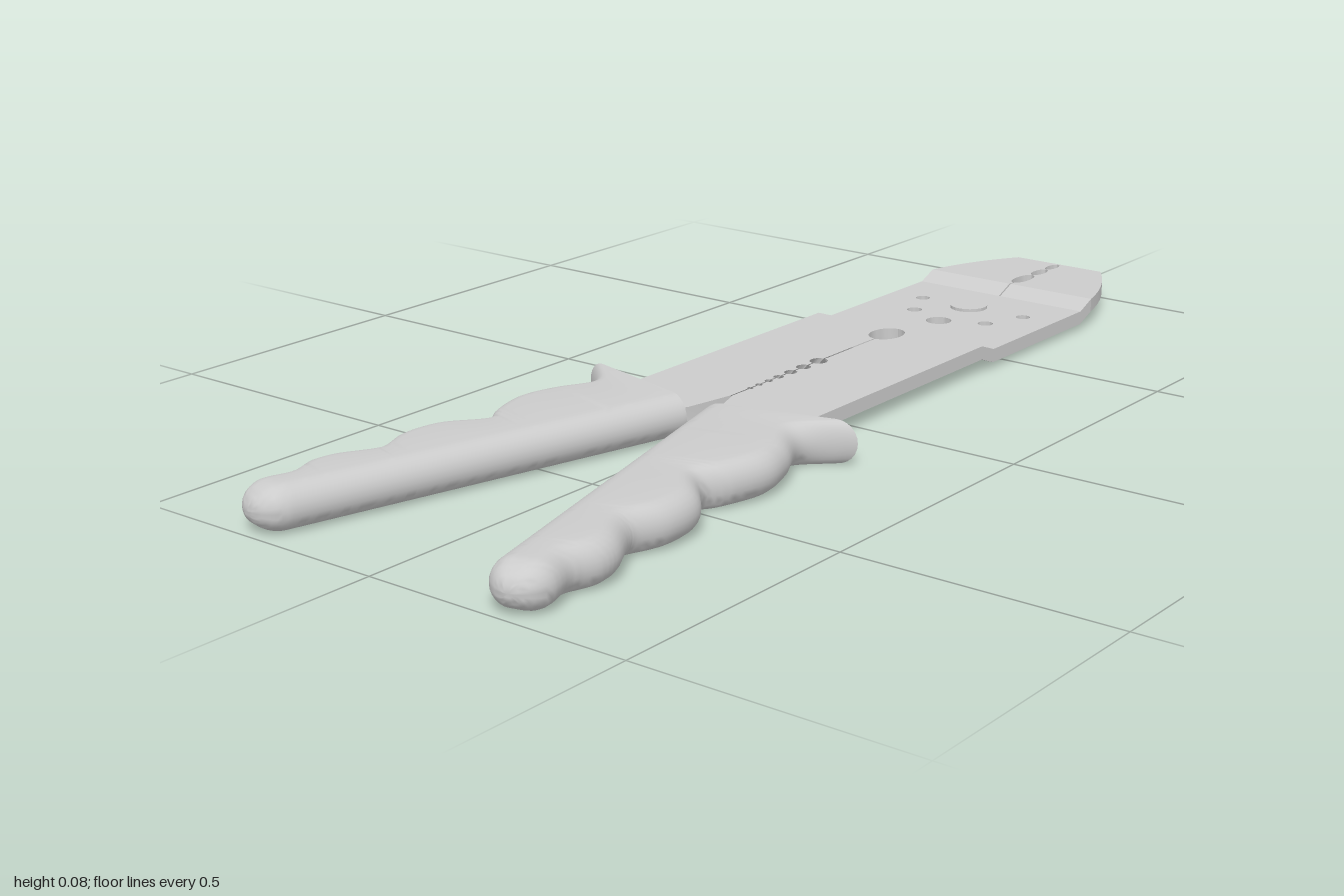
import * as THREE from 'three';
import { toCreasedNormals } from 'three/addons/utils/BufferGeometryUtils.js';

const THICK = 0.026, SEAM = -0.008, GAP = 0.0015;
const V = (x, z) => new THREE.Vector2(x, z);

// Height of the plate's top face along its length: the pivot area is pressed down
const PROFILE = [[-1, 0.055], [-0.805, 0.055], [-0.765, 0.038], [-0.44, 0.038], [-0.4, 0.053], [1, 0.053]];
function topY(z) {
  for (let i = 1; i < PROFILE.length; i++) {
    const [a, ya] = PROFILE[i - 1], [b, yb] = PROFILE[i];
    if (z <= b) return THREE.MathUtils.lerp(ya, yb, (z - a) / (b - a));
  }
  return PROFILE[PROFILE.length - 1][1];
}

// Extrude an (x, z) outline into sheet metal that follows the profile.
// Walls lying on the listed cuts are dropped so neighbouring bands join up.
function sheet(outline, cuts, holes = [], adjust = null) {
  const shape = new THREE.Shape(outline);
  for (const [x, z, r] of holes) {
    shape.holes.push(new THREE.Path().absarc(x, z, r, 0, Math.PI * 2, true));
  }
  const geo = new THREE.ExtrudeGeometry(shape, { depth: THICK, bevelEnabled: false, curveSegments: 14 });
  geo.rotateX(Math.PI / 2);
  const p = geo.attributes.position, kept = [];
  for (let i = 0; i < p.count; i += 3) {
    const tri = [0, 1, 2].map(k => new THREE.Vector3().fromBufferAttribute(p, i + k));
    if (cuts.some(c => tri.every(v => Math.abs(v.z - c) < 1e-5))) continue;
    for (const v of tri) {
      if (adjust) adjust(v);
      v.y += topY(v.z);
      kept.push(v.x, v.y, v.z);
    }
  }
  const out = new THREE.BufferGeometry();
  out.setAttribute('position', new THREE.Float32BufferAttribute(kept, 3));
  return toCreasedNormals(out, 0.6);
}

// Inner edge of one half, with half-ellipse notches [z, radiusX, radiusZ]
function innerEdge(side, z0, z1, notches) {
  const pts = [V(SEAM + side * GAP, z0)];
  for (const [z, rx, rz] of notches) {
    for (let i = 0; i <= 12; i++) {
      const t = Math.PI * i / 12;
      pts.push(V(SEAM + side * (GAP + rx * Math.sin(t)), z - rz * Math.cos(t)));
    }
  }
  pts.push(V(SEAM + side * GAP, z1));
  return pts;
}

const outerX = side => -0.008 + side * 0.19;

// Contoured grip: rounded slab sections lofted along the handle axis
const FINGER_EDGE = [[0.29, 0], [0.211, 0.055], [0.223, 0.14], [0.222, 0.204], [0.184, 0.277],
  [0.152, 0.313], [0.184, 0.4], [0.173, 0.47], [0.137, 0.527], [0.137, 0.549], [0.154, 0.613],
  [0.15, 0.65], [0.123, 0.698], [0.124, 0.745]];

function gripGeometry(side) {
  const R = 0.039, ARC = 12, N = 2 * (ARC + 1), rows = [];
  const curve = new THREE.CatmullRomCurve3(FINGER_EDGE.map(([u, v]) => new THREE.Vector3(u, v, 0)));
  for (let i = 0; i <= 84; i++) {
    const q = curve.getPoint(i / 84);
    rows.push([0.018 * q.y / 0.745, q.x, q.y, R]);
  }
  // Domed tip
  for (let i = 1; i <= 10; i++) {
    const a = i / 10 * Math.PI / 2, c = Math.max(Math.cos(a), 0.001);
    rows.push([0.071 - 0.053 * c, 0.071 + 0.053 * c, 0.745 + 0.055 * Math.sin(a), R * c]);
  }
  const pos = [], idx = [];
  const put = (u, y, v) => pos.push(side * (0.015 + 0.97 * u + 0.24 * v), y, 0.235 - 0.24 * u + 0.97 * v);
  for (const [u0, u1, v, h] of rows) {
    const r = Math.min(h, (u1 - u0) / 2);
    for (let k = 0; k < N; k++) {
      const right = k <= ARC;
      const a = right ? -Math.PI / 2 + Math.PI * k / ARC : Math.PI / 2 + Math.PI * (k - ARC - 1) / ARC;
      put((right ? u1 - r : u0 + r) + r * Math.cos(a), R + h * Math.sin(a), v);
    }
  }
  const face = (a, b, c) => (side > 0 ? idx.push(a, b, c) : idx.push(a, c, b));
  for (let i = 0; i < rows.length - 1; i++) {
    for (let k = 0; k < N; k++) {
      const a = i * N + k, b = i * N + (k + 1) % N;
      face(a, b + N, b);
      face(a, a + N, b + N);
    }
  }
  // Flat end facing the plate, and the tip
  for (let k = 1; k < N - 1; k++) {
    face(0, k, k + 1);
    const o = (rows.length - 1) * N;
    face(o, o + k + 1, o + k);
  }
  // Orient outward: check the flat end, which must face back along the axis
  const geo = new THREE.BufferGeometry();
  geo.setAttribute('position', new THREE.Float32BufferAttribute(pos, 3));
  geo.setIndex(idx);
  let vol = 0;
  const P = k => new THREE.Vector3().fromArray(pos, idx[k] * 3);
  for (let k = 0; k < idx.length; k += 3) vol += P(k).dot(P(k + 1).cross(P(k + 2)));
  if (vol < 0) geo.setIndex(idx.reverse());
  return toCreasedNormals(geo, 0.8);
}

export function createModel() {
  const group = new THREE.Group();
  const mat = new THREE.MeshStandardMaterial({ color: 0xcccccc, side: THREE.DoubleSide });
  const add = (name, geo) => {
    const mesh = new THREE.Mesh(geo, mat);
    mesh.name = name;
    group.add(mesh);
    return mesh;
  };

  for (const side of [-1, 1]) {
    const label = side > 0 ? 'left' : 'right';
    const X = outerX(side);

    // Crimping jaw with a curved shoulder
    const shoulder = new THREE.QuadraticBezierCurve(V(X, -0.805), V(-0.008 + side * 0.165, -0.91), V(-0.008 + side * 0.1, -1));
    add(label + 'Jaw', sheet([
      ...innerEdge(side, -1, -0.805, [[-0.972, 0.009, 0.022], [-0.92, 0.011, 0.026], [-0.855, 0.014, 0.036]]),
      ...shoulder.getPoints(12)], [-0.805]));

    // Sloped steps either side of the pivot area
    for (const [name, z0, z1] of [['FrontStep', -0.805, -0.765], ['RearStep', -0.44, -0.4]]) {
      add(label + name, sheet([...innerEdge(side, z0, z1, []), V(X, z1), V(X, z0)], [z0, z1]));
    }

    // Long cutting half; the underside is ground away along the wire notches
    const bladeBevel = v => {
      const inner = Math.abs(v.x - SEAM) < 0.024;
      if (inner && v.y < -0.01 && v.z > -0.25 && v.z < 0.09) v.x += side * 0.022;
    };
    const notches = [[-0.36, 0.03, 0.04], [-0.245, 0.0002, 0.005], [-0.14, 0.015, 0.017], [-0.093, 0.012, 0.014],
      [-0.054, 0.01, 0.012], [-0.018, 0.008, 0.009], [0.012, 0.006, 0.007], [0.04, 0.005, 0.006], [0.066, 0.004, 0.005]];
    add(label + 'Blade', sheet([
      ...innerEdge(side, -0.4, 0.12, notches),
      V(side * 0.028, 0.215), V(side * 0.045, 0.25), V(X, 0.22), V(X, -0.4)], [-0.4], [], bladeBevel));

    add(label + 'Grip', gripGeometry(side));
  }

  // Pivot plate with bolt-cutting holes
  add('pivotPlate', sheet(
    [V(outerX(-1), -0.765), V(outerX(1), -0.765), V(outerX(1), -0.44), V(outerX(-1), -0.44)],
    [-0.765, -0.44],
    [[-0.125, -0.66, 0.014], [0.112, -0.66, 0.014], [-0.09, -0.577, 0.015], [0.077, -0.577, 0.015], [SEAM, -0.54, 0.025]]));

  // Pivot rivet
  add('pivotRivet', toCreasedNormals(new THREE.CylinderGeometry(0.037, 0.037, 0.036, 40), 0.6))
    .position.set(-0.013, 0.026, -0.657);

  return group;
}
